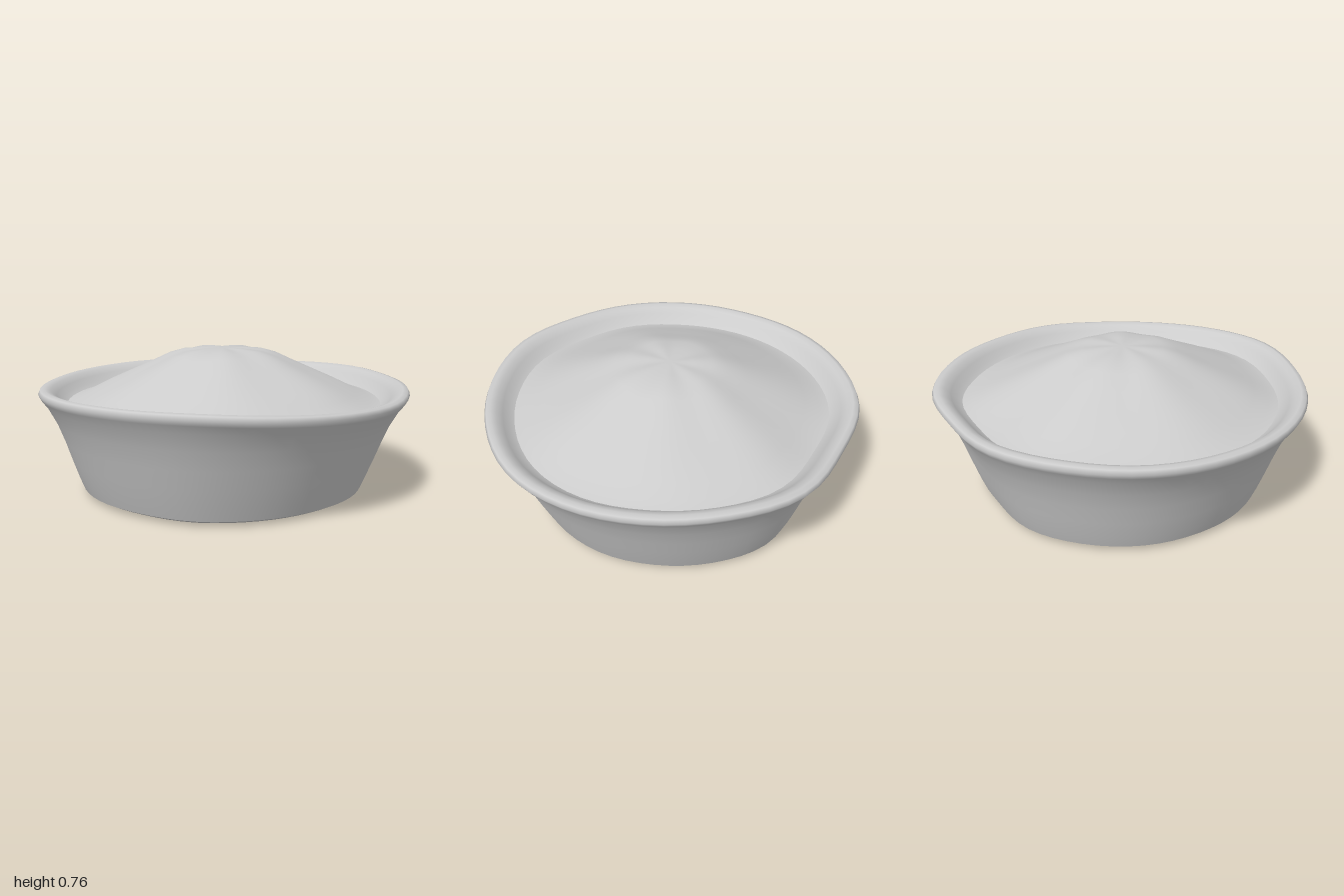
import * as THREE from 'three';
import { mergeVertices } from 'three/addons/utils/BufferGeometryUtils.js';

// Hand-shaped outline, every 22.5 degrees from the front towards +x: radius factor and rim height offset
const radii = [0.99, 0.985, 1.01, 1.0, 0.992, 1.0, 1.0, 0.99, 1.0, 1.02, 0.98, 1.01, 1.0, 0.995, 0.985, 0.99];
const lifts = [-0.005, 0, 0.005, -0.01, -0.025, -0.03, -0.01, 0, 0.01, 0.0, -0.01, 0.005, 0.008, 0, -0.01, -0.01];
const outline = new THREE.CatmullRomCurve3(
  radii.map((r, i) => new THREE.Vector3(r, lifts[i], 0)), true, 'catmullrom', 0.5);

// Revolve a profile, then push it into the uneven outline
function unevenLathe(name, profile, material) {
  let geometry = new THREE.LatheGeometry(profile.map(([r, y]) => new THREE.Vector2(r, y)), 64);
  geometry.deleteAttribute('normal');
  geometry.deleteAttribute('uv');
  geometry = mergeVertices(geometry, 1e-5);
  const pos = geometry.attributes.position;
  for (let i = 0; i < pos.count; i++) {
    const x = pos.getX(i), y = pos.getY(i), z = pos.getZ(i);
    const r = Math.hypot(x, z);
    const turn = (Math.atan2(x, z) / (2 * Math.PI) + 1) % 1;
    const o = outline.getPoint(turn);
    const rim = THREE.MathUtils.smoothstep(r, 0.6, 0.95) * THREE.MathUtils.smoothstep(y, 0.3, 0.55);
    const low = 1 - THREE.MathUtils.smoothstep(y, 0, 0.4);
    const ripple = 0.006 * Math.sin(turn * Math.PI * 14 + 1) * Math.sin(Math.PI * Math.min(r, 1));
    pos.setXYZ(i, x * o.x - 0.015 * low, y + o.y * rim + (y > 0.45 ? ripple : 0), z * o.x);
  }
  geometry.computeVertexNormals();
  const mesh = new THREE.Mesh(geometry, material);
  mesh.name = name;
  return mesh;
}

export function createModel() {
  const group = new THREE.Group();
  group.name = 'pie';
  const material = new THREE.MeshStandardMaterial({ color: 0xcccccc, roughness: 0.9 });

  // Flat underside
  group.add(unevenLathe('base', [[0, 0.005], [0.4, 0.005], [0.68, 0.008], [0.74, 0.016], [0.772, 0.032]], material));

  // Flared side wall with the rolled rim
  group.add(unevenLathe('sideWall', [
    [0.772, 0.032], [0.80, 0.1], [0.837, 0.2], [0.872, 0.3], [0.91, 0.4], [0.955, 0.49],
    [0.985, 0.53], [1.0, 0.556], [0.99, 0.577], [0.965, 0.582], [0.935, 0.572],
    [0.905, 0.545], [0.88, 0.515], [0.85, 0.495],
  ], material));

  // Domed crust filling the dish
  group.add(unevenLathe('crust', [
    [0.85, 0.495], [0.80, 0.507], [0.72, 0.541], [0.64, 0.578], [0.52, 0.63], [0.4, 0.683],
    [0.3, 0.73], [0.22, 0.753], [0.12, 0.762], [0, 0.765],
  ], material));
  return group;
}
